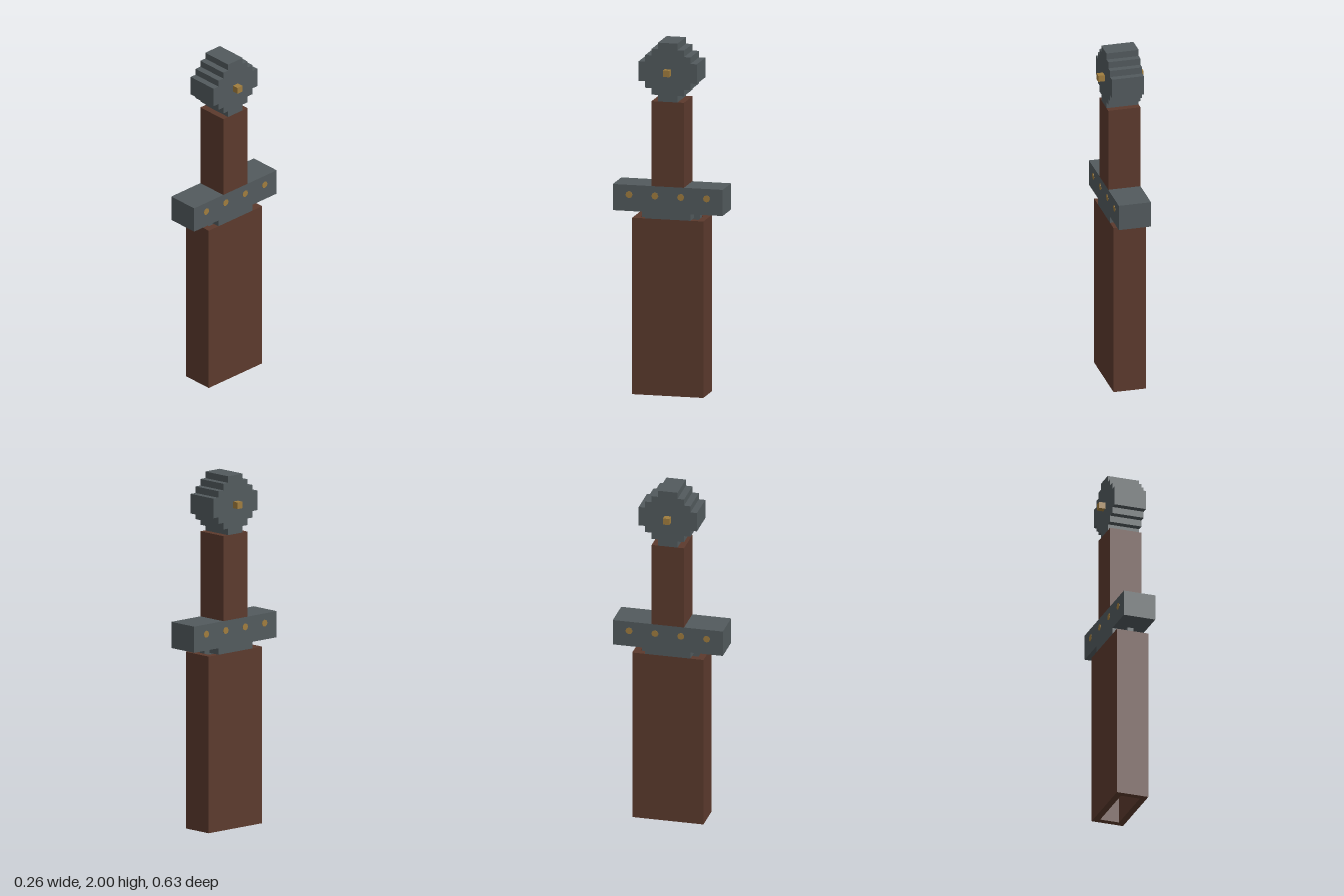
import * as THREE from 'three';

const U = 1 / 27; // block unit

export function createModel() {
  const group = new THREE.Group();
  const mat = (name, color) => {
    const m = new THREE.MeshStandardMaterial({ color });
    m.name = name;
    return m;
  };
  const leather = mat('brown leather', 0x5c3a2d);
  const steel = mat('dark steel', 0x525a5d);
  const brass = mat('brass', 0xa07d3e);

  const add = (name, geometry, material, x = 0, y = 0, z = 0) => {
    const mesh = new THREE.Mesh(geometry, material);
    mesh.name = name;
    mesh.position.set(x, y, z);
    group.add(mesh);
    return mesh;
  };
  // Box centred on x and z, sized in block units, between two heights
  const block = (name, w, d, y0, y1, material) =>
    add(name, new THREE.BoxGeometry(w * U, (y1 - y0) * U, d * U), material, 0, (y0 + y1) / 2 * U, 0);
  const rect = (path, hx, hy) => {
    path.moveTo(-hx, -hy);
    path.lineTo(hx, -hy);
    path.lineTo(hx, hy);
    path.lineTo(-hx, hy);
    path.closePath();
    return path;
  };

  // Hollow scabbard, open at the bottom
  const section = rect(new THREE.Shape(), 2.5 * U, 5.5 * U);
  section.holes.push(rect(new THREE.Path(), 1.5 * U, 4.5 * U));
  const tube = new THREE.ExtrudeGeometry(section, { depth: 27 * U, bevelEnabled: false });
  tube.rotateX(-Math.PI / 2);
  add('scabbard', tube, leather);

  // Blade inside the scabbard, guard and grip
  block('blade', 1, 9, 5, 28, steel);
  block('guardCollar', 5, 7, 27, 28, steel);
  block('guard', 5, 17, 28, 32, steel);
  block('grip', 5, 5, 32, 45, leather);

  // Stepped round pommel, outlined in z and y and extruded across x
  const steps = [[1.5, 4.5], [2.5, 3.5], [3.5, 2.5], [4.5, 1.5]]; // half width, outer height
  const quarter = [];
  steps.forEach(([w, h], i) => {
    if (i > 0) quarter.push([steps[i - 1][0], h]);
    quarter.push([w, h]);
  });
  const mirrored = (sx, sy, reverse) => {
    const points = quarter.map(([a, b]) => new THREE.Vector2(a * sx * U, b * sy * U));
    return reverse ? points.reverse() : points;
  };
  const outline = new THREE.Shape([
    ...mirrored(1, 1, false), ...mirrored(1, -1, true),
    ...mirrored(-1, -1, false), ...mirrored(-1, 1, true),
  ]);
  const disc = new THREE.ExtrudeGeometry(outline, { depth: 5 * U, bevelEnabled: false });
  disc.translate(0, 0, -2.5 * U);
  disc.rotateY(Math.PI / 2);
  add('pommel', disc, steel, 0, 49.5 * U, 0);

  // Square pin through the pommel
  block('pommelPin', 7, 1, 49, 50, brass);

  // Flat rivets on both faces of the guard
  const rivet = new THREE.CylinderGeometry(0.02, 0.02, 0.004, 8);
  rivet.rotateZ(Math.PI / 2);
  for (const side of [-1, 1])
    for (const z of [-6, -2, 2, 6])
      add('guardRivet', rivet, brass, side * 2.5 * U, 30.5 * U, z * U);

  return group;
}
